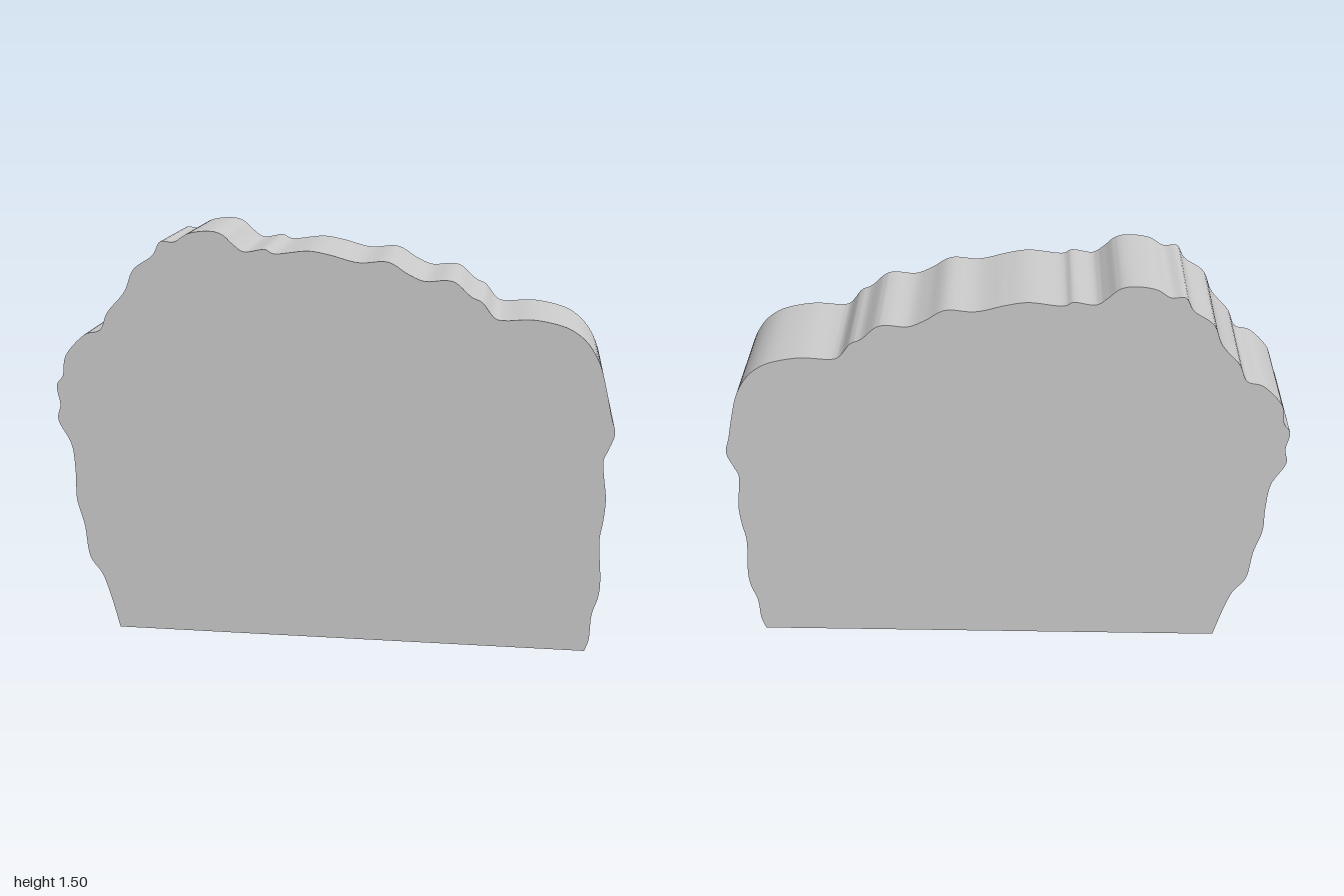
import * as THREE from 'three';
import { toCreasedNormals } from 'three/addons/utils/BufferGeometryUtils.js';

// Wavy silhouette, from the bottom right corner over the top to the bottom left
const OUTLINE = [
  // right side
  [0.93, 0], [0.945, 0.05], [0.95, 0.14], [0.97, 0.21], [0.975, 0.28], [0.965, 0.42],
  [0.975, 0.5], [0.98, 0.58], [0.97, 0.66], [0.965, 0.72], [0.98, 0.76], [1, 0.82],
  [0.985, 0.88], [0.965, 0.97], [0.94, 1.06], [0.9, 1.13], [0.85, 1.175], [0.79, 1.2],
  // top
  [0.7, 1.215], [0.61, 1.21], [0.57, 1.22], [0.53, 1.27], [0.49, 1.29], [0.44, 1.335],
  [0.4, 1.345], [0.33, 1.34], [0.27, 1.365], [0.2, 1.405], [0.1, 1.4], [0, 1.425],
  [-0.08, 1.437], [-0.19, 1.425], [-0.23, 1.44], [-0.3, 1.43], [-0.34, 1.455], [-0.38, 1.49],
  [-0.43, 1.5], [-0.5, 1.49], [-0.55, 1.46], [-0.6, 1.46], [-0.63, 1.41], [-0.7, 1.36],
  // left side
  [-0.735, 1.28], [-0.8, 1.205], [-0.83, 1.14], [-0.89, 1.12], [-0.96, 1.045], [-0.975, 0.97],
  [-1, 0.93], [-0.99, 0.86], [-1, 0.8], [-0.955, 0.71], [-0.945, 0.6], [-0.945, 0.5],
  [-0.92, 0.4], [-0.905, 0.28], [-0.86, 0.21], [-0.83, 0.12], [-0.8, 0],
];
const DEPTH = 0.4;

export function createModel() {
  const group = new THREE.Group();
  group.name = 'bushCutout';

  // Smooth curve through the outline, closed by a straight base
  const points = OUTLINE.map(([x, y]) => new THREE.Vector2(x, y));
  const shape = new THREE.Shape();
  shape.moveTo(points[0].x, points[0].y);
  shape.splineThru(points.slice(1));
  shape.closePath();

  // Flat front and back, softly shaded rim with a sharp edge
  const slab = new THREE.ExtrudeGeometry(shape, { depth: DEPTH, bevelEnabled: false, curveSegments: 5 });
  slab.translate(0, 0, -DEPTH / 2);
  const material = new THREE.MeshStandardMaterial({ color: 0xcccccc });
  const mesh = new THREE.Mesh(toCreasedNormals(slab, Math.PI / 5), material);
  mesh.name = 'wavySlab';
  group.add(mesh);

  return group;
}
